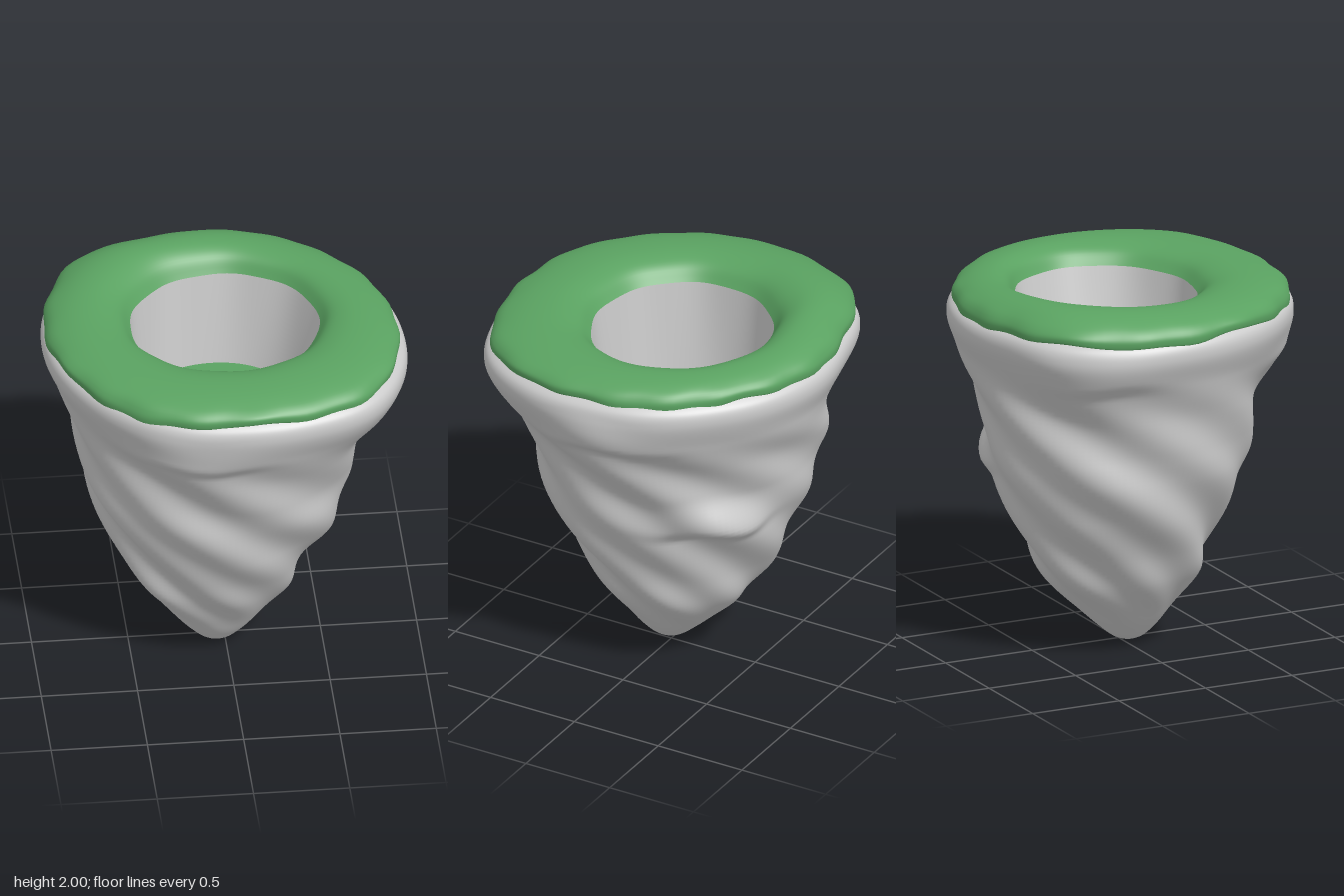
import * as THREE from 'three';

const TAU = Math.PI * 2;
const SEG = 128;

// Closed-around surface; point(a, v) gives a position, a = 0 faces +z and grows toward +x
function sweep(name, rows, color, point) {
  const pos = [], index = [];
  for (let j = 0; j <= rows; j++) {
    for (let i = 0; i < SEG; i++) pos.push(...point((i / SEG) * TAU, j / rows));
  }
  for (let j = 0; j < rows; j++) {
    for (let i = 0; i < SEG; i++) {
      const n = (i + 1) % SEG;
      const a = j * SEG + i, b = j * SEG + n, c = b + SEG, d = a + SEG;
      index.push(a, b, c, a, c, d);
    }
  }
  const geo = new THREE.BufferGeometry();
  geo.setAttribute('position', new THREE.Float32BufferAttribute(pos, 3));
  geo.setIndex(index);
  geo.computeVertexNormals();
  const mesh = new THREE.Mesh(geo, new THREE.MeshStandardMaterial({ color, side: THREE.DoubleSide }));
  mesh.name = name;
  return mesh;
}

const smooth = (lo, hi, x) => THREE.MathUtils.smoothstep(x, lo, hi);
const lerp = THREE.MathUtils.lerp;
const curve = (pts) => new THREE.CatmullRomCurve3(pts.map(([x, y]) => new THREE.Vector3(x, y, 0)));
const angleGap = (a, b) => Math.atan2(Math.sin(a - b), Math.cos(a - b));
const bell = (a, centre, width) => Math.exp(-((angleGap(a, centre) / width) ** 2));

// Island outline: radii at even angles, starting from the front
const outline = new THREE.CatmullRomCurve3(
  [0.87, 0.90, 0.955, 0.93, 0.89, 0.87, 0.85, 0.86, 0.88, 0.90, 0.98, 0.955, 0.92, 0.89, 0.88, 0.885]
    .map((r) => new THREE.Vector3(r, 0, 0)), true, 'catmullrom');
const outlineRadius = (a) => outline.getPoint(a / TAU).x;

// Rock: radius and height from tip to rim
const rockProfile = curve([
  [0, 0], [0.08, 0.03], [0.16, 0.1], [0.25, 0.2], [0.41, 0.4], [0.505, 0.6], [0.6, 0.8], [0.675, 1.0],
  [0.715, 1.2], [0.77, 1.4], [0.86, 1.6], [0.925, 1.76], [0.915, 1.83], [0.845, 1.885],
]);

// Overhanging ledges and knobs: angle, height, half-width, depth
const ledges = [
  [-0.25, 1.57, 0.35, 0.035], [1.65, 1.58, 0.32, 0.055], [-2.1, 1.62, 0.3, 0.03], [2.36, 0.98, 0.45, 0.06],
];

function rockPoint(a, v) {
  const { x: r0, y } = rockProfile.getPoint(v);
  // the rim follows the outline
  let r = r0 * lerp(1, outlineRadius(a) / 0.9, smooth(1.2, 1.75, y));
  // the waist is wider along one diagonal
  r += 0.025 * Math.sin(2 * a) * smooth(0.4, 0.8, y) * (1 - smooth(1.2, 1.6, y));
  // twisting ridges, fading at tip and rim
  const fade = smooth(0.1, 0.5, y) * (1 - smooth(1.35, 1.7, y));
  const phase = a + 2.1 * y;
  r += fade * (0.018 * Math.sin(7 * phase + 1.1) + 0.012 * Math.sin(4 * phase + 2));
  for (const [angle, height, width, depth] of ledges) {
    const dy = y - height - 0.015 * Math.sin(9 * a);
    r += depth * bell(a, angle, width) * smooth(-0.08, 0.01, dy) * (1 - smooth(0, 0.22, dy));
  }
  // the tip and waist lean off the axis
  const lean = 1 - smooth(1.1, 1.7, y);
  const dx = lerp(0.015, -0.045, lean);
  const dz = lerp(0.03, -0.025, smooth(0, 0.4, y)) * lean;
  return [r * Math.sin(a) + dx, y, r * Math.cos(a) + dz];
}

// Grass section: 0 = outer edge, 1 = edge of the hole
const grassProfile = curve([
  [0.06, 1.875], [0.01, 1.85], [0, 1.885], [0.05, 1.917], [0.2, 1.948],
  [0.45, 1.967], [0.7, 1.962], [0.88, 1.93], [1.0, 1.868],
]);

function holePoint(a) {
  const r = 0.478 - 0.012 * Math.cos(2 * a) + 0.01 * Math.cos(a - 1.5) + 0.004 * Math.sin(9 * a);
  return [r * Math.sin(a), -0.07 + r * Math.cos(a)];
}

function floorPoint(a) {
  const r = 0.41 + 0.008 * Math.sin(3 * a + 1);
  return [-0.03 + r * Math.sin(a), -0.065 + r * Math.cos(a)];
}

const RIM_Y = 1.868;
const FLOOR_Y = 1.36;

function grassPoint(a, v) {
  const { x: t, y: y0 } = grassProfile.getPoint(v);
  const edge = 1 - smooth(0, 0.25, t);
  const r = outlineRadius(a) + 0.005 * Math.sin(19 * a) * edge;
  const [hx, hz] = holePoint(a);
  // wavy hanging edge, higher ground at the back left
  const hang = 0.012 * Math.sin(5 * a + 1) + 0.006 * Math.sin(13 * a) - 0.03 * bell(a, -0.8, 0.25);
  const mound = bell(a, -2.4, 0.8) * Math.sin(Math.PI * THREE.MathUtils.clamp(t, 0, 1));
  const y = y0 + hang * edge * (1 - smooth(0.1, 0.5, v)) + 0.034 * mound;
  return [lerp(r * Math.sin(a), hx, t), y, lerp(r * Math.cos(a), hz, t)];
}

function wallPoint(a, v) {
  const [hx, hz] = holePoint(a), [fx, fz] = floorPoint(a);
  return [lerp(hx, fx, v), lerp(RIM_Y, FLOOR_Y, v), lerp(hz, fz, v)];
}

function pitFloorPoint(a, v) {
  const [fx, fz] = floorPoint(a);
  return [lerp(fx, -0.03, v), FLOOR_Y, lerp(fz, -0.065, v)];
}

export function createModel() {
  const group = new THREE.Group();
  group.name = 'floatingIsland';
  const grey = 0xcccccc, green = 0x5aa261;
  group.add(
    sweep('twistedRock', 120, grey, rockPoint),
    sweep('grassRing', 40, green, grassPoint),
    sweep('pitWall', 14, grey, wallPoint),
    sweep('pitFloor', 4, green, pitFloorPoint),
  );
  return group;
}
